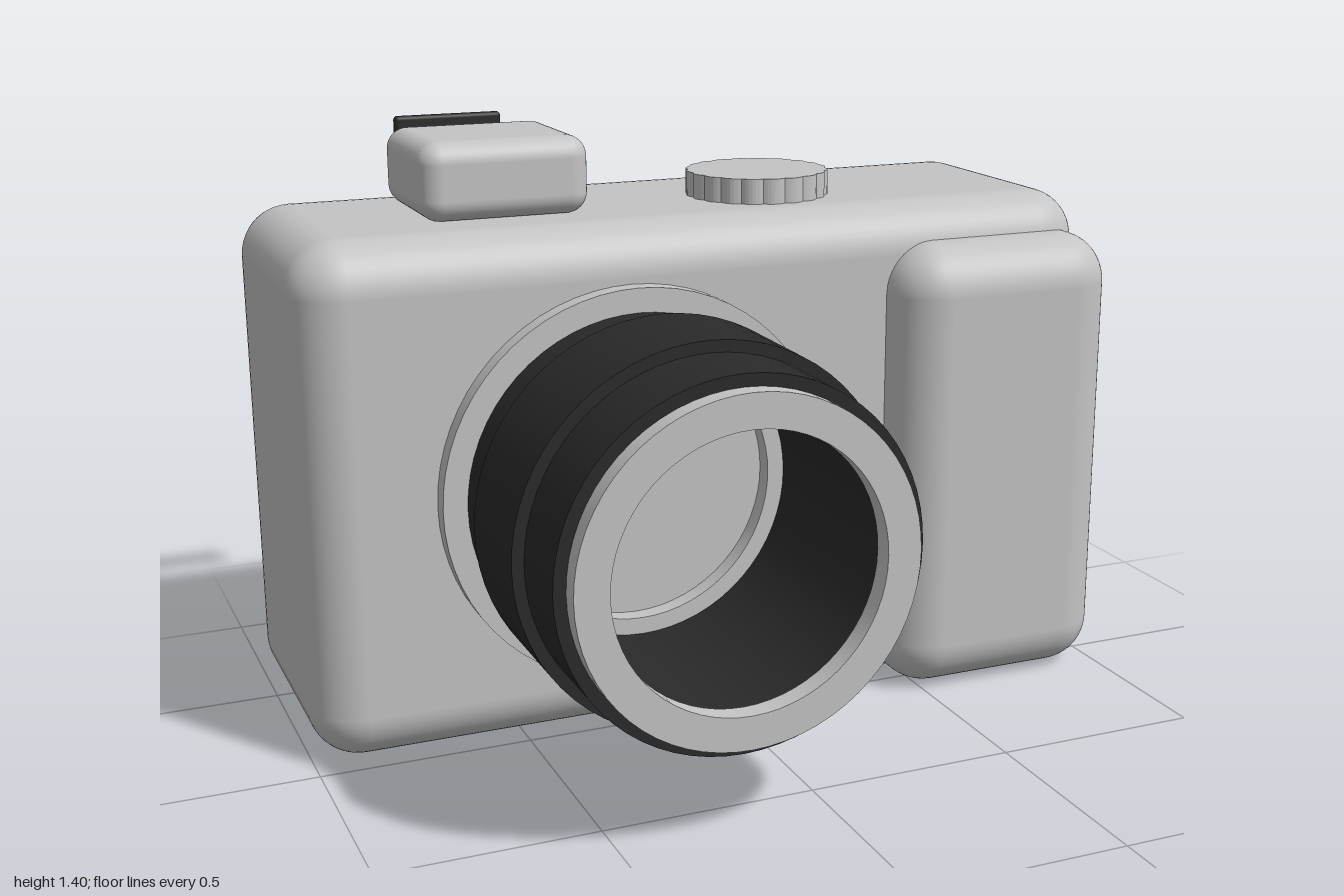
import * as THREE from 'three';
import { toCreasedNormals } from 'three/addons/utils/BufferGeometryUtils.js';
import { RoundedBoxGeometry } from 'three/addons/geometries/RoundedBoxGeometry.js';

export function createModel() {
  const group = new THREE.Group();
  const silver = new THREE.MeshStandardMaterial({ name: 'silver', color: 0xc4c4c4 });
  const black = new THREE.MeshStandardMaterial({ name: 'black', color: 0x2a2a2a });

  function add(name, geometry, material, x, y, z) {
    const mesh = new THREE.Mesh(geometry, material);
    mesh.name = name;
    mesh.position.set(x, y, z);
    group.add(mesh);
  }

  // Rounded box given by its limits on each axis
  function box(name, material, [x0, x1], [y0, y1], [z0, z1], radius) {
    add(name, new RoundedBoxGeometry(x1 - x0, y1 - y0, z1 - z0, 6, radius), material,
      (x0 + x1) / 2, (y0 + y1) / 2, (z0 + z1) / 2);
  }

  // Hollow lens section along z, with crisp rims
  function ring(name, material, inner, outer, z0, z1) {
    const profile = [[inner, z0], [outer, z0], [outer, z1], [inner, z1], [inner, z0]]
      .map(([r, z]) => new THREE.Vector2(r, z));
    const geometry = toCreasedNormals(new THREE.LatheGeometry(profile, 64), 0.6);
    geometry.rotateX(Math.PI / 2);
    add(name, geometry, material, -0.235, 0.612, 0);
  }

  // Body and hand grip
  box('body', silver, [-1, 0.975], [0.005, 1.215], [-0.695, 0.015], 0.12);
  box('handGrip', silver, [0.415, 1], [0, 1.125], [-0.12, 0.135], 0.122);

  // Viewfinder housing and the separate eyepiece plate behind it
  box('viewfinder', silver, [-0.665, -0.263], [1.215, 1.397], [-0.517, -0.16], 0.05);
  box('eyepiece', black, [-0.6, -0.33], [1.305, 1.4], [-0.672, -0.648], 0.01);

  // Lens
  ring('lensMount', silver, 0.32, 0.47, 0, 0.06);
  ring('lensBarrel', black, 0.36, 0.413, 0.06, 0.655);
  ring('focusRing', black, 0.4, 0.44, 0.2, 0.47);
  ring('frontRing', silver, 0.308, 0.385, 0.65, 0.7);

  // Mode dial with a scalloped edge
  const lobes = 20, steps = lobes * 6, outline = [];
  for (let i = 0; i < steps; i++) {
    const a = (i / steps) * Math.PI * 2;
    const r = 0.168 + 0.007 * Math.abs(Math.sin((a * lobes) / 2));
    outline.push(new THREE.Vector2(r * Math.cos(a), r * Math.sin(a)));
  }
  const dial = new THREE.ExtrudeGeometry(new THREE.Shape(outline), { depth: 0.075, bevelEnabled: false });
  dial.rotateX(-Math.PI / 2);
  add('modeDial', dial, silver, 0.21, 1.2, -0.295);

  return group;
}
